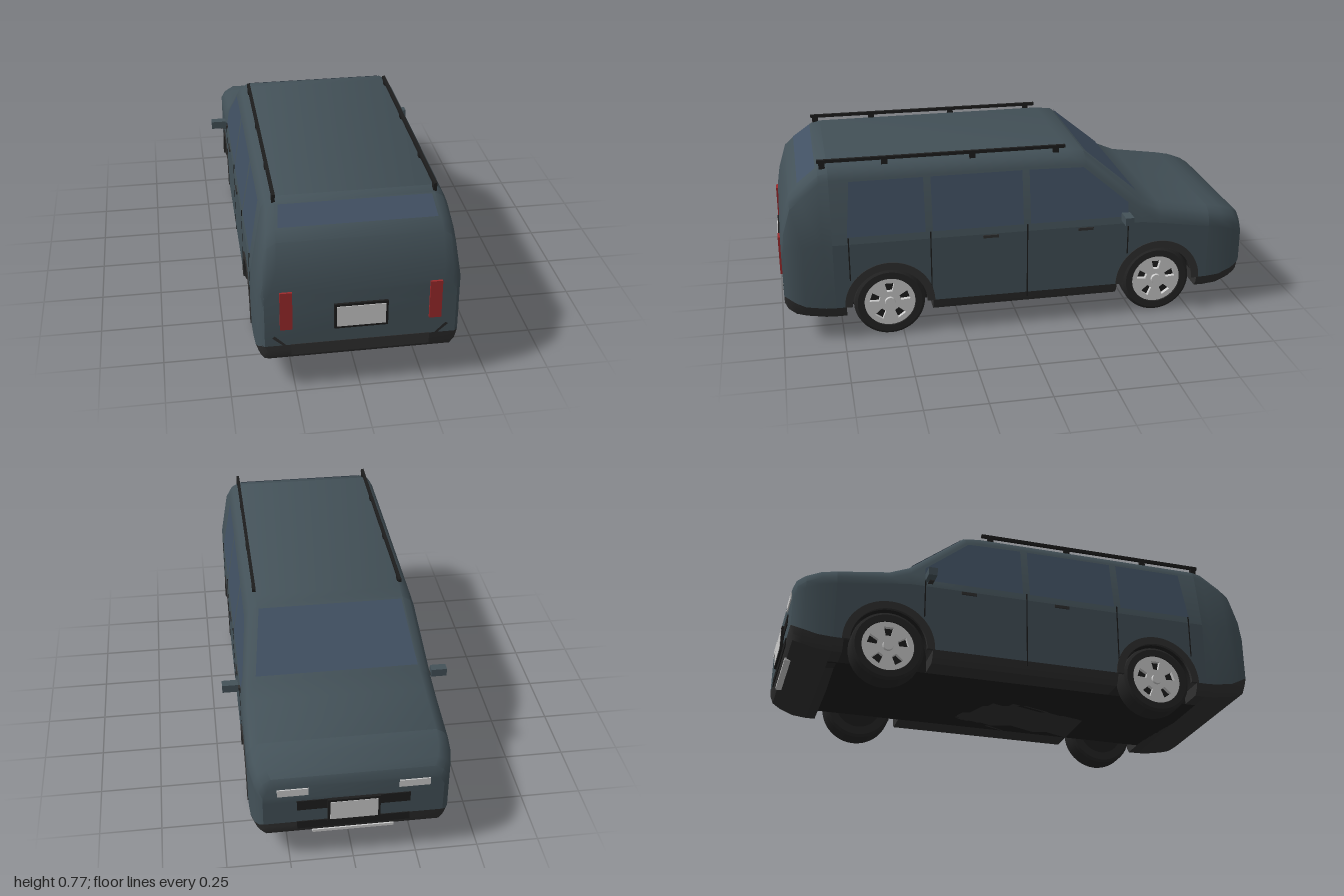
import * as THREE from 'three';
import { toCreasedNormals } from 'three/addons/utils/BufferGeometryUtils.js';

const mat = (color) => new THREE.MeshStandardMaterial({ color, side: THREE.DoubleSide });

export function createModel() {
  const car = new THREE.Group();
  const paint = mat(0x435158), glass = mat(0x415062), trim = mat(0x303030), black = mat(0x1d1d1d);
  const tyreMat = mat(0x252525), red = mat(0x9c2a2c), grey = mat(0xcccccc);

  const add = (name, geo, material, parent = car) => {
    const m = new THREE.Mesh(geo, material);
    m.name = name;
    parent.add(m);
    return m;
  };
  const box = (name, material, w, h, d, x, y, z) => {
    const m = add(name, new THREE.BoxGeometry(w, h, d), material);
    m.position.set(x, y, z);
    return m;
  };

  // Stations along the body: [z, underside, sill line, top, half width]
  const tail = [
    [0.985, 0.17, 0.21, 0.45, 0.365], [0.972, 0.145, 0.205, 0.53, 0.375],
    [0.94, 0.125, 0.185, 0.635, 0.388], [0.9, 0.115, 0.165, 0.67, 0.393],
    [0.82, 0.102, 0.152, 0.732, 0.395], [0.78, 0.1, 0.15, 0.742, 0.395]];
  const middle = [
    [0.78, 0.1, 0.15, 0.742, 0.395], [-0.21, 0.1, 0.15, 0.744, 0.395],
    [-0.28, 0.1, 0.15, 0.735, 0.395], [-0.52, 0.1, 0.15, 0.535, 0.395],
    [-0.6, 0.1, 0.15, 0.5, 0.395], [-0.82, 0.1, 0.15, 0.467, 0.395]];
  const nose = [
    [-0.82, 0.1, 0.15, 0.467, 0.395], [-0.88, 0.105, 0.155, 0.456, 0.392],
    [-0.94, 0.125, 0.175, 0.435, 0.38], [-0.972, 0.14, 0.19, 0.415, 0.365],
    [-0.985, 0.165, 0.2, 0.385, 0.35]];

  const belt = (t) => Math.min(0.43, t - 0.08);
  const sideX = (y, w = 0.395) => w - Math.max(0, y - 0.43) * 0.17;
  const mirrored = (half) => [...half, ...half.map(([x, y]) => [-x, y]).reverse()];
  const upper = ([, , , t, w]) => {
    const sx = sideX(t - 0.05, w);
    return mirrored([[w, belt(t)], [sx, t - 0.05], [sx - 0.017, t - 0.02], [sx - 0.05, t]]);
  };
  const full = (s) => {
    const p = upper(s);
    return [[s[4], s[2]], ...p, [-s[4], s[2]]];
  };
  const lower = ([, b, s, , w]) => mirrored([[-w, s], [0.01 - w, b + 0.02], [0.025 - w, b]]);

  // Skin over cross-sections, with optional flat end
  function loft(name, stations, section, material, capAt = -1) {
    const pos = [], idx = [], rows = stations.map(section), n = rows[0].length;
    rows.forEach((row, i) => row.forEach(([x, y]) => pos.push(x, y, stations[i][0])));
    for (let i = 0; i < rows.length - 1; i++) for (let j = 0; j < n - 1; j++) {
      const a = i * n + j, b = a + n;
      idx.push(a, b, a + 1, b, b + 1, a + 1);
    }
    if (capAt >= 0) for (let j = 0; j < n / 2 - 1; j++) {
      const a = capAt * n + j, b = capAt * n + n - 1 - j;
      const quad = [a, a + 1, b, a + 1, b - 1, b];
      idx.push(...(capAt === 0 ? quad : quad.reverse()));
    }
    const g = new THREE.BufferGeometry();
    g.setAttribute('position', new THREE.Float32BufferAttribute(pos, 3));
    g.setIndex(idx);
    return add(name, toCreasedNormals(g, 0.6), material);
  }
  loft('rearBody', tail, full, paint, 0);
  loft('cabinAndHood', middle, upper, paint);
  loft('noseBody', nose, full, paint, nose.length - 1);
  loft('rearBumper', tail, lower, trim, 0);
  loft('frontBumper', nose, lower, trim, nose.length - 1);

  // Lower side panels with wheel arch openings
  const axles = [0.555, -0.6], wheelY = 0.15, archR = 0.18;
  const panel = new THREE.Shape();
  panel.moveTo(0.78, 0.15);
  middle.forEach(([z, , , t]) => panel.lineTo(z, belt(t)));
  panel.lineTo(-0.82, 0.15);
  [...axles].reverse().forEach((z) => panel.absarc(z, wheelY, archR, Math.PI, 0, true));
  panel.closePath();

  // Floor pan: narrow between the wheels, full width elsewhere
  box('floorPan', black, 0.54, 0.06, 1.6, 0, 0.13, -0.02);
  const sillShape = new THREE.Shape(lower(middle[0]).map(([x, y]) => new THREE.Vector2(x, y)));
  [[-0.82, -0.78], [-0.42, 0.375], [0.735, 0.78]].forEach(([z0, z1]) => {
    const g = new THREE.ExtrudeGeometry(sillShape, { depth: z1 - z0, bevelEnabled: false });
    add('sill', g.translate(0, 0, z0), trim);
  });

  // Flat pane from four corners
  function pane(name, corners, material) {
    const g = new THREE.BufferGeometry();
    g.setAttribute('position', new THREE.Float32BufferAttribute(corners.flat(), 3));
    g.setIndex(corners.length === 4 ? [0, 1, 2, 0, 2, 3] : [0, 1, 2]);
    g.computeVertexNormals();
    add(name, g, material);
  }
  pane('windscreen', [[-0.33, 0.551, -0.507], [0.33, 0.551, -0.507],
    [0.295, 0.732, -0.29], [-0.295, 0.732, -0.29]], glass);
  pane('rearWindow', [[-0.3, 0.675, 0.902], [0.3, 0.675, 0.902],
    [0.29, 0.731, 0.827], [-0.29, 0.731, 0.827]], glass);

  // Wheel: tyre, pierced rim, dark backing and hub, facing +z
  function wheel() {
    const g = new THREE.Group();
    g.name = 'wheel';
    const profile = [[0.1, -0.05], [0.135, -0.05], [0.146, -0.042], [0.149, -0.03], [0.149, 0.03],
      [0.146, 0.042], [0.135, 0.05], [0.107, 0.05], [0.104, 0.03]].map((p) => new THREE.Vector2(...p));
    add('tyre', toCreasedNormals(new THREE.LatheGeometry(profile, 40).rotateX(Math.PI / 2), 0.6), tyreMat, g);
    const rim = new THREE.Shape().absarc(0, 0, 0.106, 0, Math.PI * 2);
    for (let i = 0; i < 5; i++) {
      const a = Math.PI / 2 + i * Math.PI * 0.4;
      const at = (r, s) => new THREE.Vector2(
        r * Math.cos(a) - s * Math.sin(a), r * Math.sin(a) + s * Math.cos(a));
      rim.holes.push(new THREE.Path([at(0.045, -0.011), at(0.083, -0.02), at(0.083, 0.02), at(0.045, 0.011)]));
    }
    const rimGeo = new THREE.ExtrudeGeometry(rim, { depth: 0.018, bevelEnabled: false, curveSegments: 32 });
    add('rim', rimGeo.translate(0, 0, 0.026), grey, g);
    add('wheelBacking', new THREE.CircleGeometry(0.106, 32).translate(0, 0, 0.022), black, g);
    add('innerBacking', new THREE.CircleGeometry(0.106, 32).translate(0, 0, -0.045), black, g);
    add('hub', new THREE.CylinderGeometry(0.02, 0.023, 0.012, 20).rotateX(Math.PI / 2).translate(0, 0, 0.047), grey, g);
    return g;
  }

  for (const s of [1, -1]) {
    add('sidePanel', new THREE.ShapeGeometry(panel, 24).rotateY(-Math.PI / 2).translate(s * 0.395, 0, 0), paint);

    for (const z of axles) {
      const w = wheel();
      w.rotation.y = s * Math.PI / 2;
      w.position.set(s * 0.331, wheelY, z);
      car.add(w);
      const liner = new THREE.CylinderGeometry(archR, archR, 0.125, 24, 1, true, 0, Math.PI).rotateZ(Math.PI / 2);
      add('archLiner', liner, black).position.set(s * 0.3325, wheelY, z);
      const wall = new THREE.CircleGeometry(archR, 24, 0, Math.PI).rotateY(Math.PI / 2);
      add('archInnerWall', wall, black).position.set(s * 0.27, wheelY, z);
      const arch = new THREE.Shape().absarc(0, 0, 0.187, 0, Math.PI, false).absarc(0, 0, 0.155, Math.PI, 0, true);
      const archGeo = new THREE.ExtrudeGeometry(arch, { depth: 0.014, bevelEnabled: false, curveSegments: 24 });
      archGeo.translate(0, 0, -0.007).rotateY(Math.PI / 2);
      add('archTrim', archGeo, trim).position.set(s * 0.391, wheelY, z);
    }

    // Side windows as [z, y] corners lying on the tapered side
    [[[0.72, 0.46], [0.4, 0.46], [0.4, 0.685], [0.7, 0.685]],
      [[0.37, 0.46], [-0.01, 0.46], [-0.01, 0.685], [0.37, 0.685]],
      [[-0.04, 0.46], [-0.46, 0.46], [-0.46, 0.52], [-0.27, 0.68]]].forEach((c) =>
      pane('sideWindow', c.map(([z, y]) => [s * (sideX(y) + 0.0015), y, z]), glass));
    pane('sideWindow', [[-0.04, 0.46], [-0.27, 0.68], [-0.04, 0.685]]
      .map(([z, y]) => [s * (sideX(y) + 0.0015), y, z]), glass);

    // Door seams and handles
    [[0.715, 0.27, 0.46], [0.38, 0.19, 0.46], [-0.025, 0.13, 0.46], [-0.46, 0.29, 0.46]].forEach(([z, y0, y1]) =>
      box('doorSeam', black, 0.004, y1 - y0, 0.005, s * 0.394, (y0 + y1) / 2, z));
    for (const z of [0.13, -0.275]) box('doorHandle', trim, 0.012, 0.012, 0.065, s * 0.394, 0.42, z);

    // Mirrors
    box('mirrorArm', trim, 0.045, 0.012, 0.02, s * 0.4, 0.45, -0.44);
    box('mirror', paint, 0.065, 0.034, 0.036, s * 0.433, 0.465, -0.445);

    // Roof rails
    box('roofRail', black, 0.013, 0.013, 1.02, s * 0.305, 0.762, 0.31);
    for (const z of [0.8, 0.55, 0.19, -0.16]) box('railFoot', black, 0.013, 0.035, 0.025, s * 0.305, 0.748, z);

    // Lamps and bumper corners
    box('tailLamp', red, 0.047, 0.163, 0.03, s * 0.284, 0.367, 0.979);
    box('headLamp', grey, 0.12, 0.032, 0.03, s * 0.235, 0.355, -0.975);
    pane('bumperCorner', [[s * 0.283, 0.21, 0.987], [s * 0.377, 0.21, 0.974], [s * 0.327, 0.256, 0.988]], trim);
  }

  // Rear and front fittings
  box('rearBumperInset', trim, 0.53, 0.048, 0.02, 0, 0.188, 0.977);
  box('rearPlateFrame', black, 0.205, 0.108, 0.02, 0, 0.327, 0.984);
  box('rearPlate', grey, 0.186, 0.087, 0.02, 0, 0.327, 0.987);
  box('grille', black, 0.44, 0.045, 0.02, 0, 0.285, -0.979);
  box('frontPlateFrame', black, 0.205, 0.108, 0.026, 0, 0.255, -0.985);
  box('frontPlate', grey, 0.186, 0.087, 0.02, 0, 0.255, -0.99);
  box('lowerIntake', black, 0.44, 0.035, 0.02, 0, 0.185, -0.979);
  box('skidStrip', grey, 0.32, 0.012, 0.03, 0, 0.138, -0.965);
  return car;
}
